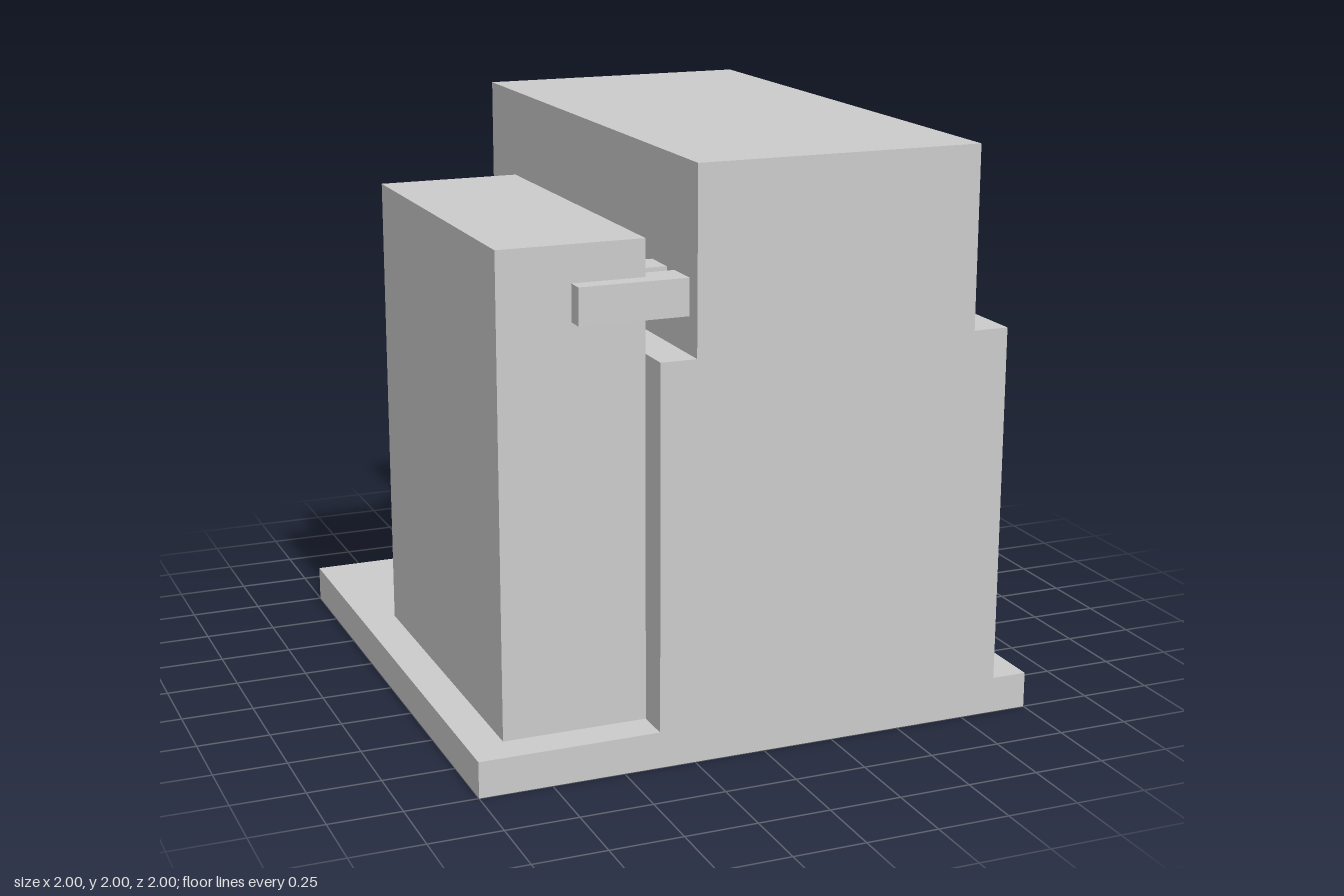
import * as THREE from 'three';

const material = new THREE.MeshStandardMaterial({ color: 0xcccccc, flatShading: true });

// Box given by its lower and upper corner
function box(name, [x0, y0, z0], [x1, y1, z1]) {
  const geometry = new THREE.BoxGeometry(x1 - x0, y1 - y0, z1 - z0);
  geometry.translate((x0 + x1) / 2, (y0 + y1) / 2, (z0 + z1) / 2);
  const mesh = new THREE.Mesh(geometry, material);
  mesh.name = name;
  return mesh;
}

function extrude(points, depth) {
  const shape = new THREE.Shape(points.map(([x, y]) => new THREE.Vector2(x, y)));
  return new THREE.ExtrudeGeometry(shape, { depth, bevelEnabled: false });
}

// Square elbow pipe from the side cabinet to the body, with a flange at each end
function elbowPipe(y, wallX) {
  const group = new THREE.Group();
  group.name = 'elbowPipe';
  const t = 0.03125;
  const endX = wallX - t;
  const endZ = -0.375 - t;
  // L outline in x and z, turned flat
  const geometry = extrude([
    [-0.75, -0.75], [endX, -0.75], [endX, -0.625],
    [-0.625, -0.625], [-0.625, endZ], [-0.75, endZ],
  ], 0.125);
  geometry.rotateX(Math.PI / 2).translate(0, y + 0.0625, 0);
  const pipe = new THREE.Mesh(geometry, material);
  pipe.name = 'pipe';
  group.add(
    pipe,
    box('bodyFlange', [endX, y - 0.125, -0.8125], [wallX, y + 0.125, -0.5625]),
    box('cabinetFlange', [-0.8125, y - 0.125, endZ], [-0.5625, y + 0.125, -0.375]),
  );
  return group;
}

export function createModel() {
  const model = new THREE.Group();
  model.name = 'machineUnit';

  // Base plate
  model.add(box('basePlate', [-1, 0, -1], [1, 0.125, 1]));

  // Stepped main body, narrower at the top
  const bodyGeometry = extrude([
    [-0.375, 0.125], [0.875, 0.125], [0.875, 1.375], [0.75, 1.375],
    [0.75, 2], [-0.25, 2], [-0.25, 1.375], [-0.375, 1.375],
  ], 2);
  bodyGeometry.translate(0, 0, -1);
  const body = new THREE.Mesh(bodyGeometry, material);
  body.name = 'mainBody';
  model.add(body);

  // Raised panel on one side, cabinet on the other
  model.add(box('sidePanel', [0.75, 0.125, -0.5], [1, 1.5, 0.5]));
  model.add(box('sideCabinet', [-0.875, 0.125, -0.375], [-0.375, 1.75, 0.875]));

  // Bars bridging the cabinet and the upper body
  for (const z of [0.4375, 0.625, 0.8125]) {
    model.add(box('bridgeBar', [-0.625, 1.5, z], [-0.25, 1.625, z + 0.125]));
  }

  // Rear pipes: the top one meets the recessed upper body
  model.add(elbowPipe(1.5, -0.25));
  for (const y of [0.4375, 0.8125]) model.add(elbowPipe(y, -0.375));

  return model;
}
